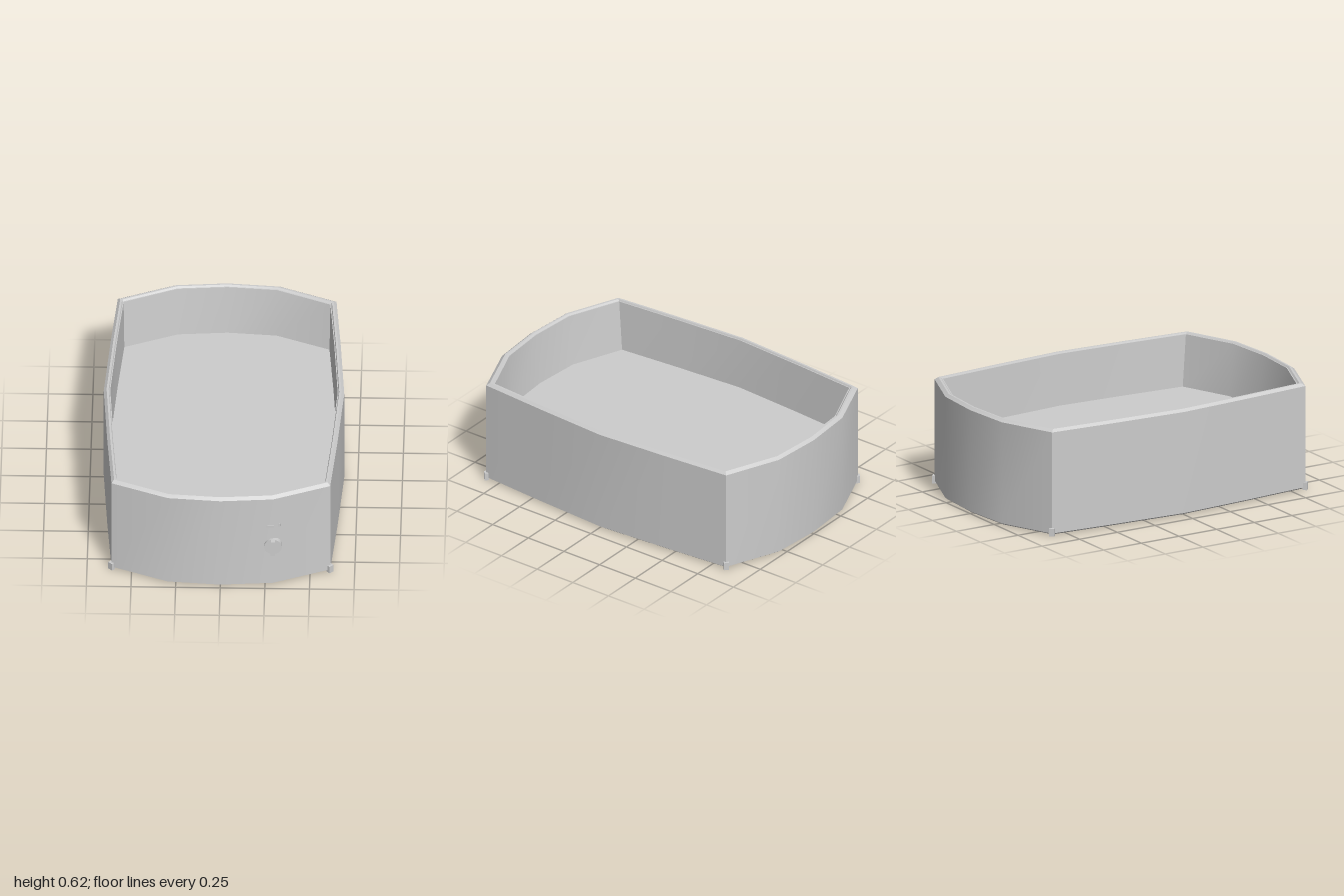
import * as THREE from 'three';
import { toCreasedNormals } from 'three/addons/utils/BufferGeometryUtils.js';

const casing = new THREE.MeshStandardMaterial({ color: 0xcccccc });
casing.name = 'light grey';

// Right half of the outline, from front centre to back centre (x, z)
const half = [
  [0, 0.988], [0.295, 0.965], [0.613, 0.836], [0.645, 0.44], [0.674, -0.005],
  [0.645, -0.45], [0.613, -0.846], [0.295, -0.977], [0, -1],
];
const outline = [...half, ...half.slice(1, -1).reverse().map(([x, z]) => [-x, z])];

// Wall section: inset at the sides, inset at the ends, height
const section = [
  [0.012, 0.012, 0.005], [0, 0, 0.014], [0, 0, 0.605], [0.016, 0.018, 0.62],
  [0.028, 0.028, 0.62], [0.032, 0.036, 0.611], [0.037, 0.041, 0.611], [0.042, 0.069, 0.31],
];

function ring([dx, dz, y]) {
  return outline.map(([x, z]) => [x * (1 - dx / 0.674), y, (z + 0.006) * (1 - dz / 0.994) - 0.006]);
}

// Loft the section around the outline and close the underside and inner floor
function tubGeometry() {
  const rings = section.map(ring);
  const n = outline.length;
  const last = rings.length - 1;
  const p = [];
  const tri = (...corners) => corners.forEach((c) => p.push(...c));
  for (let i = 0; i < n; i++) {
    const j = (i + 1) % n;
    for (let r = 0; r < last; r++) {
      const a = rings[r], b = rings[r + 1];
      tri(a[i], a[j], b[j]);
      tri(a[i], b[j], b[i]);
    }
    tri(rings[0][j], rings[0][i], [0, section[0][2], 0]);
    tri(rings[last][i], rings[last][j], [0, section[last][2], 0]);
  }
  const g = new THREE.BufferGeometry();
  g.setAttribute('position', new THREE.Float32BufferAttribute(p, 3));
  return toCreasedNormals(g, 0.5);
}

export function createModel() {
  const model = new THREE.Group();
  model.name = 'basin';
  const add = (name, geometry, x, y, z, parent = model) => {
    const mesh = new THREE.Mesh(geometry, casing);
    mesh.name = name;
    mesh.position.set(x, y, z);
    parent.add(mesh);
    return mesh;
  };

  add('tub', tubGeometry(), 0, 0, 0);

  // Small feet wrapped around the lower corners
  for (const sx of [-1, 1]) {
    for (const z of [0.836, -0.846]) {
      const foot = add('cornerFoot', new THREE.BoxGeometry(0.03, 0.045, 0.024), sx * 0.612, 0.0225, z);
      foot.rotation.y = sx * Math.sign(z) * Math.PI / 4;
    }
  }

  // Control knob with a raised grip
  const knob = new THREE.Group();
  knob.name = 'knob';
  knob.position.set(0.295, 0.28, 0.965);
  model.add(knob);
  const disc = new THREE.CylinderGeometry(0.05, 0.05, 0.03, 24);
  add('knobDisc', disc.rotateX(Math.PI / 2), 0, 0, 0, knob);
  add('knobGrip', new THREE.BoxGeometry(0.024, 0.096, 0.025), 0, 0, 0.0225, knob);

  // Raised marks above the knob
  add('dialMark', new THREE.BoxGeometry(0.045, 0.01, 0.008), 0.278, 0.415, 0.965);
  add('indicator', new THREE.BoxGeometry(0.016, 0.016, 0.008), 0.33, 0.415, 0.95);
  return model;
}
